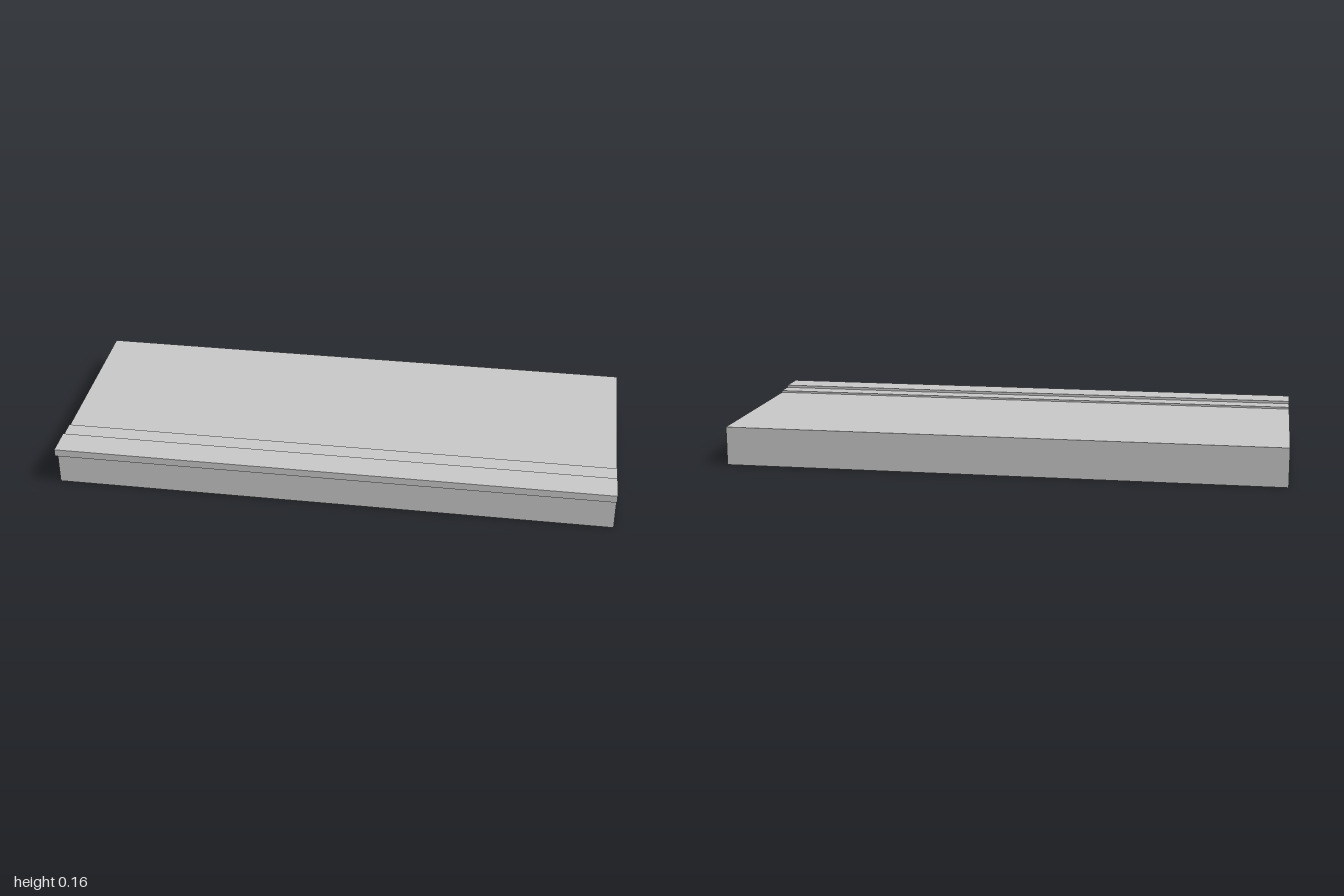
import * as THREE from 'three';

export function createModel() {
  const group = new THREE.Group();
  const concrete = new THREE.MeshStandardMaterial({ color: 0xc8c8c8 });

  // Full-length box spanning a y and z range
  function slab(name, y0, y1, z0, z1) {
    const mesh = new THREE.Mesh(new THREE.BoxGeometry(2, y1 - y0, z1 - z0), concrete);
    mesh.name = name;
    mesh.position.set(0, (y0 + y1) / 2, (z0 + z1) / 2);
    group.add(mesh);
  }

  // Platform base and the slightly wider deck on top
  slab('base', 0, 0.118, -0.411, 0.386);
  slab('deck', 0.118, 0.14, -0.414, 0.388);

  // Raised edge that overhangs the front
  slab('frontEdge', 0.128, 0.155, 0.307, 0.415);

  // Thin raised strip behind the edge
  slab('warningStrip', 0.14, 0.147, 0.233, 0.301);

  return group;
}
